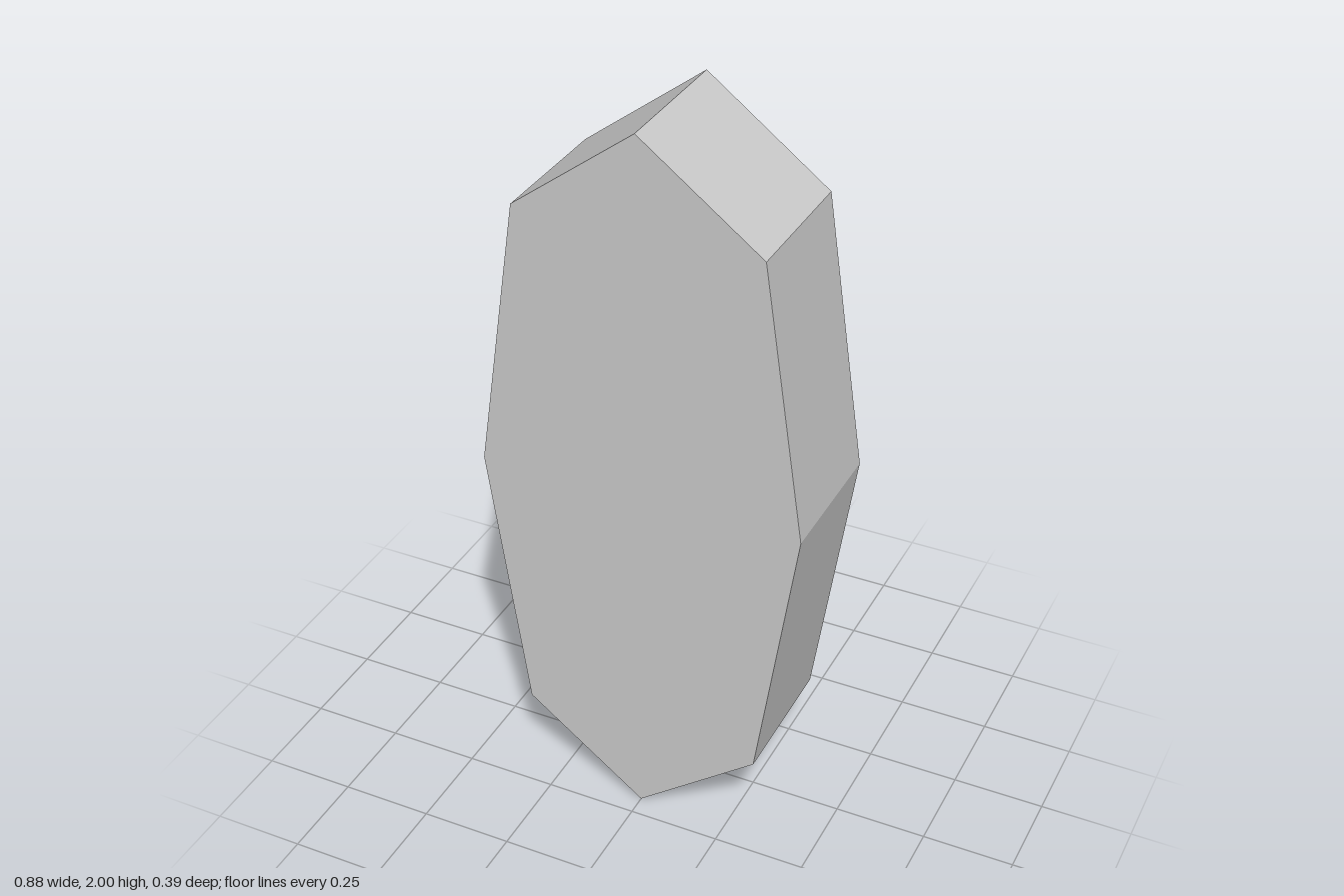
import * as THREE from 'three';

export function createModel() {
  const group = new THREE.Group();
  group.name = 'octagonalSlab';

  // Tall pointed octagon: one side from bottom to top, then mirrored
  const side = [[0, 0], [0.33, 0.25], [0.44, 1], [0.33, 1.75], [0, 2]];
  const mirrored = side.slice(1, -1).reverse().map(([x, y]) => [-x, y]);
  const outline = [...side, ...mirrored].map(([x, y]) => new THREE.Vector2(x, y));

  // Straight extrusion, centred on z
  const depth = 0.387;
  const geometry = new THREE.ExtrudeGeometry(new THREE.Shape(outline), {
    depth, bevelEnabled: false, steps: 1,
  });
  geometry.translate(0, 0, -depth / 2);

  const slab = new THREE.Mesh(
    geometry,
    new THREE.MeshStandardMaterial({ color: 0xcccccc, flatShading: true }),
  );
  slab.name = 'slab';
  group.add(slab);
  return group;
}
